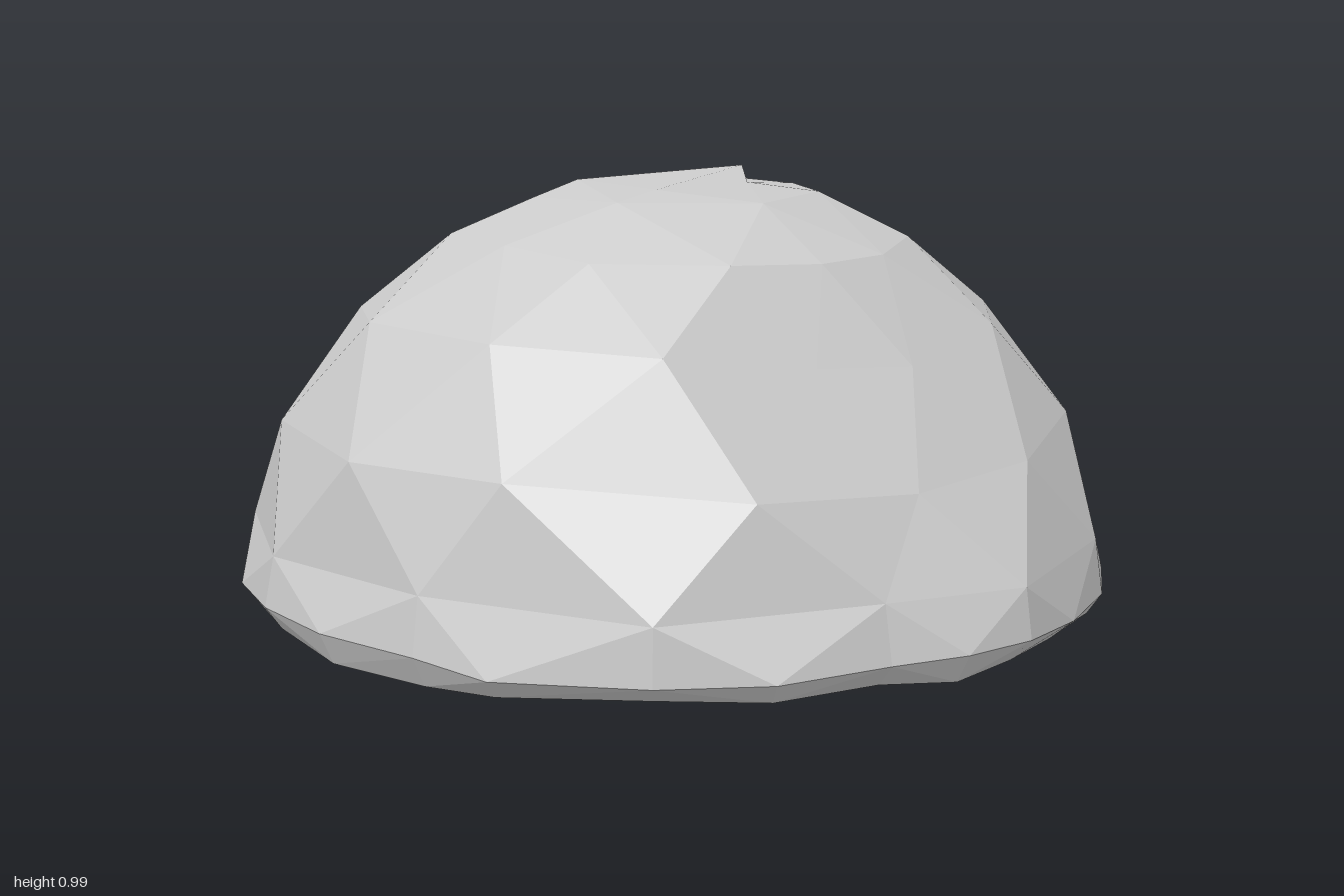
import * as THREE from 'three';

// Footprint of the boulder as [x, z], counter-clockwise seen from above
const outline = [
  [0.1, -1], [-0.25, -0.97], [-0.45, -0.9], [-0.7, -0.72], [-0.9, -0.4], [-0.93, -0.22], [-1, -0.13],
  [-1, 0.1], [-0.93, 0.35], [-0.8, 0.58], [-0.6, 0.78], [-0.45, 0.88], [-0.12, 1], [0.13, 1],
  [0.38, 0.88], [0.55, 0.83], [0.7, 0.73], [0.83, 0.55], [0.95, 0.3], [0.99, 0.12], [0.97, -0.02],
  [0.94, -0.17], [0.9, -0.27], [0.87, -0.45], [0.8, -0.6], [0.65, -0.75], [0.47, -0.83], [0.3, -0.96],
];
const N = outline.length;

// Rings from the curled-in rim to the crown:
// footprint scale, height, columns merged, column offset, roughness, centre shift
const rings = [
  { s: 0.88, y: 0.03, step: 1, off: 0, rough: 0.014, dx: 0, dz: 0 },
  { s: 0.955, y: 0.02, step: 1, off: 0, rough: 0.012, dx: 0, dz: 0 },
  { s: 1.0, y: 0.07, step: 1, off: 0, rough: 0.014, dx: 0, dz: 0 },
  { s: 0.98, y: 0.2, step: 2, off: 0, rough: 0.01, dx: 0, dz: 0 },
  { s: 0.91, y: 0.45, step: 2, off: 1, rough: 0.01, dx: 0, dz: 0 },
  { s: 0.745, y: 0.695, step: 2, off: 0, rough: 0.012, dx: 0.01, dz: 0 },
  { s: 0.52, y: 0.865, step: 2, off: 1, rough: 0.012, dx: 0.02, dz: 0 },
  { s: 0.33, y: 0.95, step: 4, off: 1, rough: 0.01, dx: 0, dz: -0.03 },
  { s: 0.2, y: 0.975, step: 7, off: 2, rough: 0.005, dx: -0.03, dz: -0.05 },
];

// Broad flat faces that cut the dome's front corner: unit normal and distance from the origin
const cuts = [
  { normal: new THREE.Vector3(0.55, 0.632, 0.544), offset: 0.924 },
  { normal: new THREE.Vector3(0.374, 0.6, 0.707), offset: 0.904 },
];

// Repeatable noise in -1..1
function noise(a, b) {
  const v = Math.sin(a * 127.1 + b * 311.7) * 43758.5453;
  return (v - Math.floor(v)) * 2 - 1;
}

// One ring of N points; merged columns share a point, which makes larger facets
function makeRing({ s, y, step, off, rough, dx, dz }, seed) {
  return outline.map((_, j) => {
    const k = (Math.floor((j + off) / step) * step - off + N) % N;
    const [x, z] = outline[k];
    const r = s === 1 ? 1 : s + noise(k, seed) * rough;
    // The rim lifts off the ground halfway along both sides
    const lift = y < 0.1 ? 0.03 * Math.max(0, 1 - Math.abs(z + 0.1) / 0.35) : 0;
    const p = new THREE.Vector3(x * r + dx, Math.max(0, y + lift + noise(k, seed + 20) * rough), z * r + dz);
    for (const { normal, offset } of cuts) {
      p.addScaledVector(normal, -Math.max(0, p.dot(normal) - offset));
    }
    return p;
  });
}

export function createModel() {
  const loops = rings.map((ring, i) => makeRing(ring, i));
  const crown = new THREE.Vector3(0.17, 1, -0.15);
  loops.push(outline.map(() => crown));

  const positions = [];
  const addTriangle = (a, b, c) => {
    if (a.equals(b) || b.equals(c) || c.equals(a)) return;
    for (const p of [a, b, c]) positions.push(p.x, p.y, p.z);
  };
  // Split each quad along the diagonal that bulges outward
  for (let i = 0; i < loops.length - 1; i++) {
    for (let j = 0; j < N; j++) {
      const n = (j + 1) % N;
      const a = loops[i][j], b = loops[i][n], c = loops[i + 1][n], d = loops[i + 1][j];
      if (a.clone().add(c).length() > b.clone().add(d).length()) {
        addTriangle(a, b, c);
        addTriangle(a, c, d);
      } else {
        addTriangle(a, b, d);
        addTriangle(b, c, d);
      }
    }
  }

  const geometry = new THREE.BufferGeometry();
  geometry.setAttribute('position', new THREE.Float32BufferAttribute(positions, 3));
  geometry.computeVertexNormals();

  // Thin open shell, seen from outside and from below
  const material = new THREE.MeshStandardMaterial({ color: 0xcccccc, flatShading: true, side: THREE.DoubleSide });
  const boulder = new THREE.Mesh(geometry, material);
  boulder.name = 'boulderShell';
  const group = new THREE.Group();
  group.name = 'hollowBoulder';
  group.add(boulder);
  return group;
}
